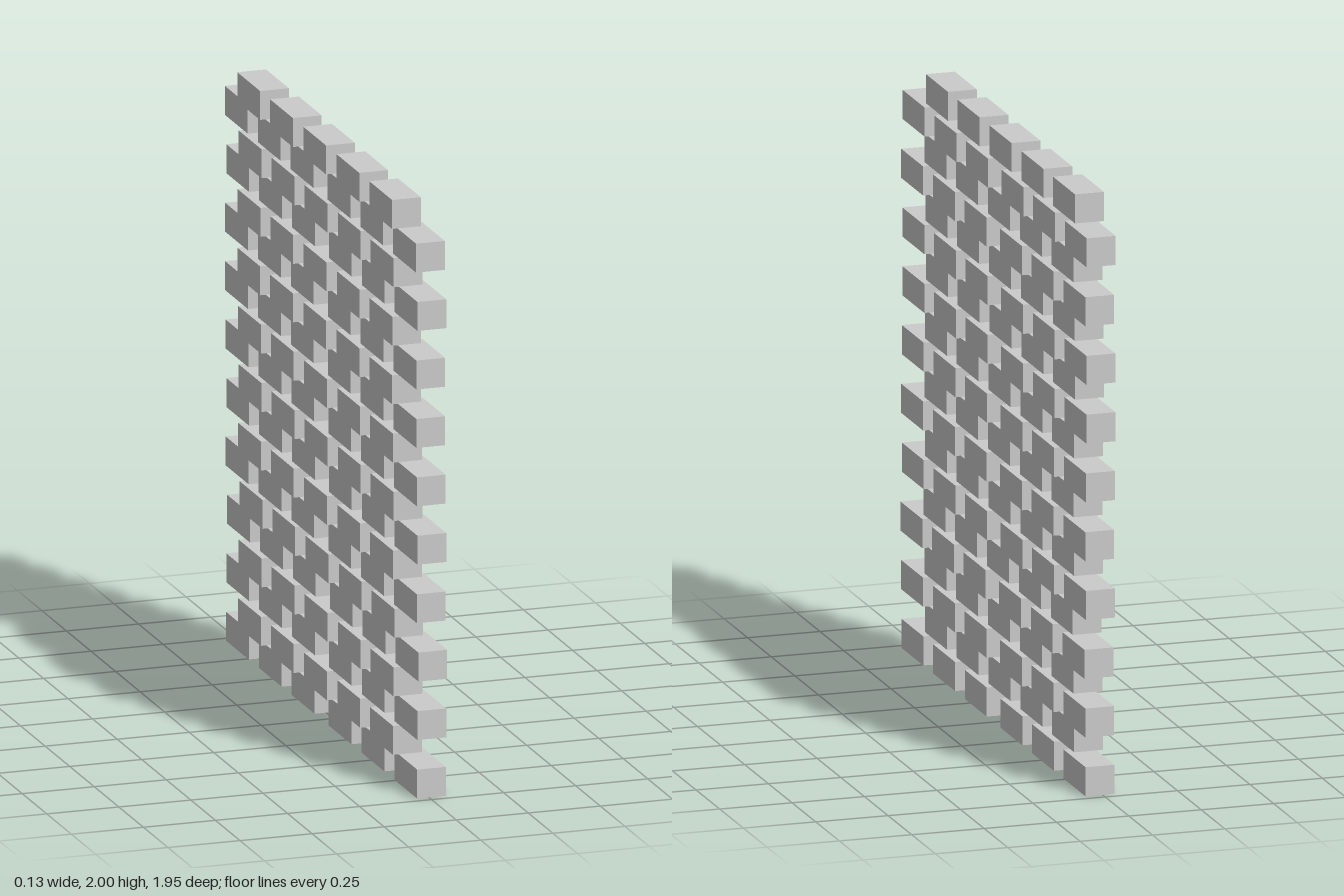
import * as THREE from 'three';

// Openwork brick screen: alternating courses of six and five spaced bricks
const COURSES = 20, HEIGHT = 0.1, DEPTH = 0.1, LENGTH = 0.232;
const SIX = [-0.857, -0.522, -0.188, 0.188, 0.522, 0.857];
const FIVE = [-0.672, -0.338, 0, 0.338, 0.672];
// Slight sideways wander of each course, bottom to top
const SHIFT = [0.009, -0.012, 0.01, -0.01, 0.013, -0.007, 0.008, -0.012, 0.01, -0.01,
  0.008, -0.012, 0.006, -0.015, 0.006, -0.014, 0.01, -0.01, 0.005, -0.015];

export function createModel() {
  const model = new THREE.Group();
  model.name = 'brickScreen';
  const material = new THREE.MeshStandardMaterial({ color: 0xcccccc, flatShading: true });
  const brickGeometry = new THREE.BoxGeometry(DEPTH, HEIGHT - 0.001, LENGTH);

  for (let row = 0; row < COURSES; row++) {
    const course = new THREE.Group();
    course.name = `course${row + 1}`;
    course.position.set(SHIFT[row], (row + 0.5) * HEIGHT, 0);
    for (const z of row % 2 ? FIVE : SIX) {
      const brick = new THREE.Mesh(brickGeometry, material);
      brick.name = 'brick';
      brick.position.z = z;
      course.add(brick);
    }
    model.add(course);
  }
  return model;
}
